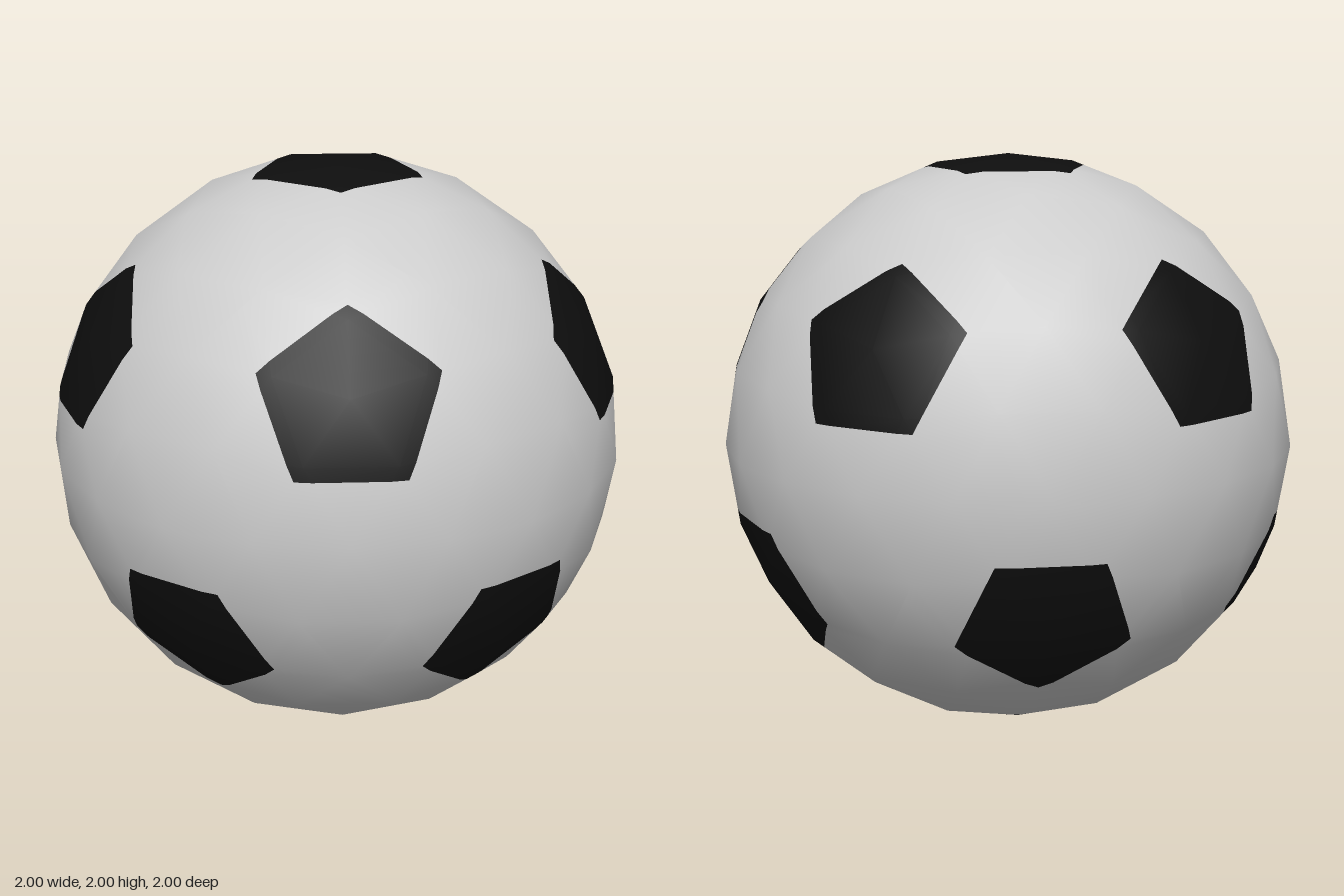
import * as THREE from 'three';

// The 12 corners of an icosahedron standing on one corner
const ring = (y, turn) => Array.from({ length: 5 }, (_, i) => {
  const a = (i * 72 + turn) * Math.PI / 180, r = 2 / Math.sqrt(5);
  return new THREE.Vector3(r * Math.cos(a), y, r * Math.sin(a));
});
const h = 1 / Math.sqrt(5);
const centres = [new THREE.Vector3(0, 1, 0), ...ring(h, 0), ...ring(-h, 36), new THREE.Vector3(0, -1, 0)];

function ballGeometry() {
  const faces = [];
  for (let i = 0; i < 5; i++) {
    const j = (i + 1) % 5, u = 1 + i, v = 1 + j, l = 6 + i, m = 6 + j;
    faces.push(0, v, u, u, v, l, l, v, m, l, m, 11);
  }
  return new THREE.PolyhedronGeometry(centres.flatMap(c => c.toArray()), faces, 1, 3);
}

// Cuts a convex polygon where side(p) changes sign: [inside, outside]
function split(poly, side) {
  const inside = [], outside = [];
  poly.forEach((p, i) => {
    const q = poly[(i + 1) % poly.length], a = side(p), b = side(q);
    if (a <= 0) inside.push(p);
    if (a >= 0) outside.push(p);
    if (a * b < 0) {
      const cut = p.clone().lerp(q, a / (a - b));
      inside.push(cut);
      outside.push(cut);
    }
  });
  return [inside, outside];
}

// The five sides of the pentagon round a corner, each facing away from a neighbour
function pentagonSides(c) {
  return centres.filter(n => Math.abs(n.dot(c) - h) < 0.01).map(n => {
    const t = c.clone().multiplyScalar(n.dot(c)).sub(n).normalize();
    return p => p.dot(t) - 0.5 * p.dot(c) + 0.23;
  });
}

// Fans polygons into a smooth-shaded mesh
function patchMesh(name, polys, material) {
  const pos = [], nor = [];
  for (const poly of polys) {
    for (let i = 1; i < poly.length - 1; i++) {
      for (const p of [poly[0], poly[i], poly[i + 1]]) {
        pos.push(...p.toArray());
        nor.push(...p.clone().normalize().toArray());
      }
    }
  }
  const g = new THREE.BufferGeometry();
  g.setAttribute('position', new THREE.Float32BufferAttribute(pos, 3));
  g.setAttribute('normal', new THREE.Float32BufferAttribute(nor, 3));
  const mesh = new THREE.Mesh(g, material);
  mesh.name = name;
  return mesh;
}

export function createModel() {
  const white = new THREE.MeshStandardMaterial({ color: 0xcccccc });
  white.name = 'white leather';
  const black = new THREE.MeshStandardMaterial({ color: 0x0e0e0e });
  black.name = 'black leather';

  const pentagons = centres.map(c => ({ c, sides: pentagonSides(c), polys: [] }));
  const shell = [];
  const at = ballGeometry().getAttribute('position');

  // Sort every facet into the pentagons and the shell between them
  for (let i = 0; i < at.count; i += 3) {
    const tri = [0, 1, 2].map(k => new THREE.Vector3().fromBufferAttribute(at, i + k));
    const mid = tri[0].clone().add(tri[1]).add(tri[2]).normalize();
    let rest = [tri];
    for (const pent of pentagons) {
      if (mid.dot(pent.c) < 0.85) continue;
      const next = [];
      for (let poly of rest) {
        for (const side of pent.sides) {
          const [inner, outer] = split(poly, side);
          if (outer.length > 2) next.push(outer);
          poly = inner;
          if (poly.length < 3) break;
        }
        if (poly.length > 2) pent.polys.push(poly);
      }
      rest = next;
    }
    shell.push(...rest);
  }

  const ball = new THREE.Group();
  ball.name = 'ball';
  ball.add(patchMesh('whitePanels', shell, white));
  pentagons.forEach((p, i) => ball.add(patchMesh(`blackPentagon${i + 1}`, p.polys, black)));
  ball.position.y = 1;

  const model = new THREE.Group();
  model.name = 'football';
  model.add(ball);
  return model;
}
